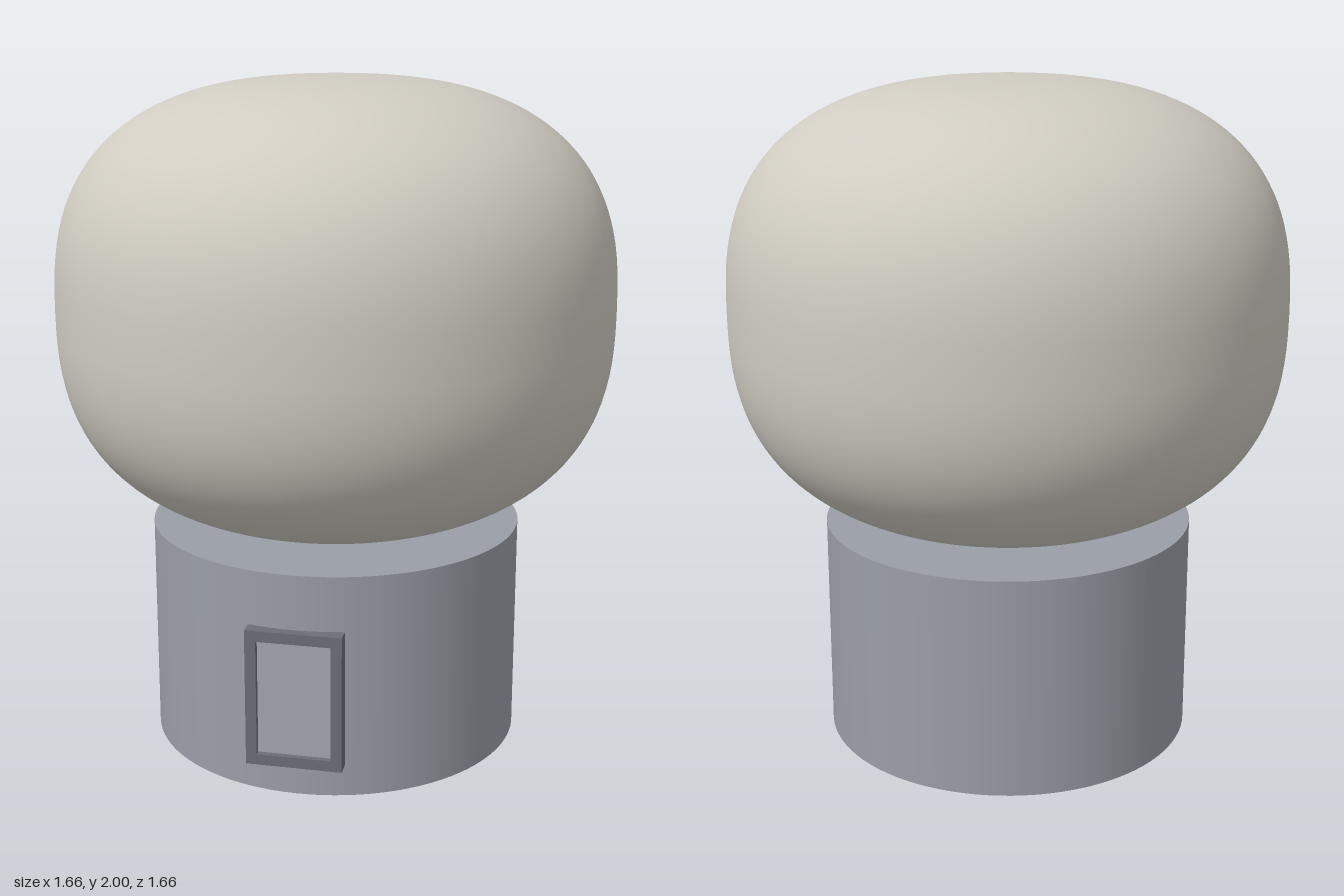
import * as THREE from 'three';

export function createModel() {
  const model = new THREE.Group();
  const paint = (name, color) => {
    const m = new THREE.MeshStandardMaterial({ color });
    m.name = name;
    return m;
  };
  const cream = paint('warm cream', 0xd0ccc2);
  const grey = paint('base grey', 0x9a9ea7);
  const dark = paint('frame grey', 0x6a6e77);
  const light = paint('panel grey', 0xa2a6af);

  const add = (name, geometry, material, x = 0, y = 0, z = 0) => {
    const mesh = new THREE.Mesh(geometry, material);
    mesh.name = name;
    mesh.position.set(x, y, z);
    model.add(mesh);
  };

  // Rounded cushion-like top: a superellipse profile turned about the axis
  const R = 0.83, H = 0.665, N = 2.6, STEPS = 64;
  const profile = [];
  for (let i = 0; i <= STEPS; i++) {
    const a = -Math.PI / 2 + (Math.PI * i) / STEPS;
    const c = i % STEPS === 0 ? 0 : Math.cos(a);
    const s = Math.sin(a);
    profile.push(new THREE.Vector2(
      R * Math.pow(c, 2 / N),
      H * Math.sign(s) * Math.pow(Math.abs(s), 2 / N)));
  }
  add('roundedTop', new THREE.LatheGeometry(profile, 96), cream, 0, 2 - H, 0);

  // Cylindrical base
  const baseHeight = 0.668;
  add('base', new THREE.CylinderGeometry(0.56, 0.56, baseHeight, 96), grey, 0, baseHeight / 2, 0);

  // Door frame with a rectangular opening
  const rect = (path, w, h) => path
    .moveTo(-w, -h).lineTo(w, -h).lineTo(w, h).lineTo(-w, h).closePath();
  const frame = new THREE.Shape();
  rect(frame, 0.14, 0.205);
  const opening = new THREE.Path();
  rect(opening, 0.108, 0.173);
  frame.holes.push(opening);
  const frameGeometry = new THREE.ExtrudeGeometry(frame, { depth: 0.044, bevelEnabled: false });
  add('doorFrame', frameGeometry, dark, 0, 0.3, 0.545);

  // Flat door panel set inside the frame
  add('doorPanel', new THREE.BoxGeometry(0.216, 0.346, 0.009), light, 0, 0.3, 0.567);

  return model;
}
